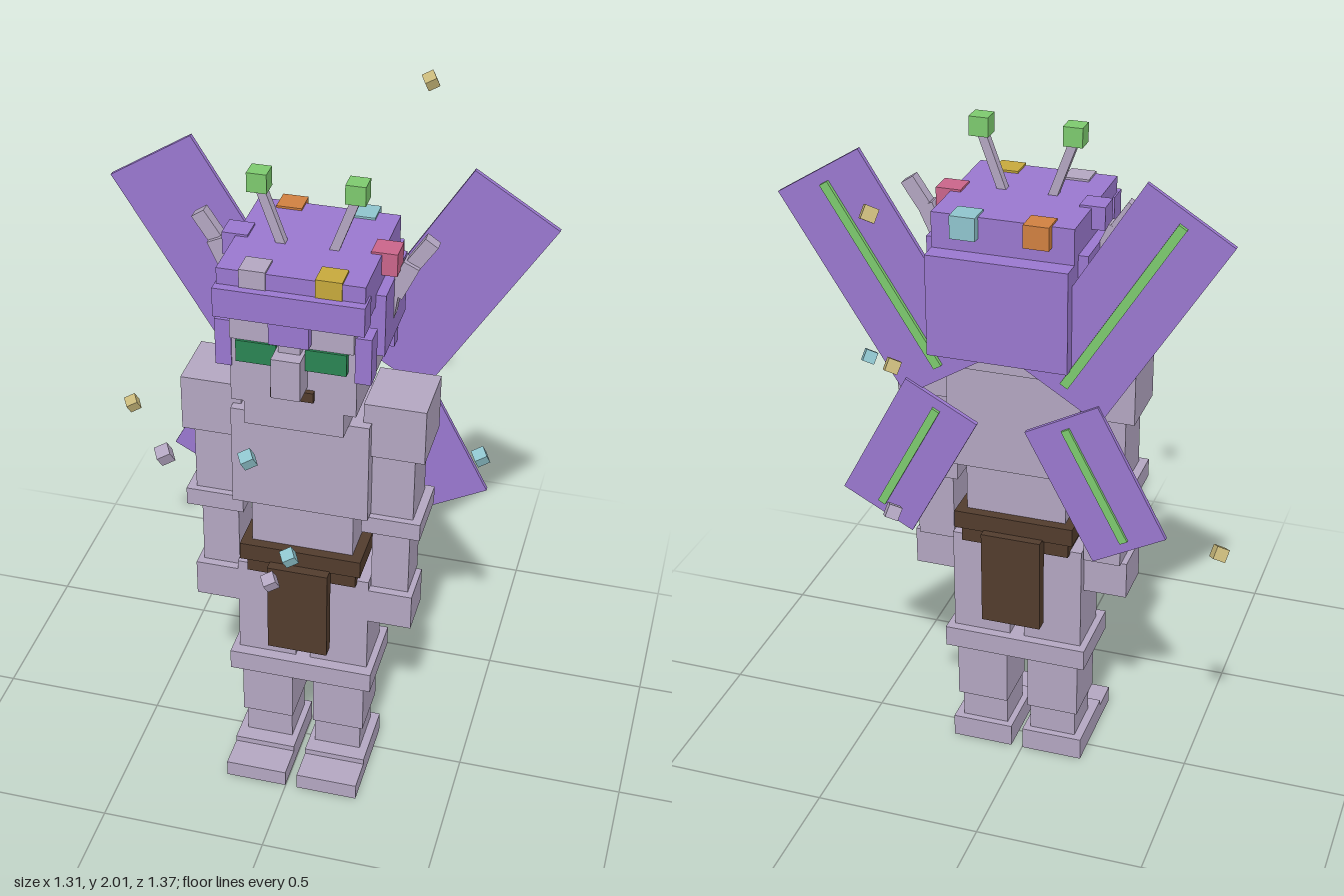
import * as THREE from 'three';

const mat = (name, color) => {
  const m = new THREE.MeshStandardMaterial({ color });
  m.name = name;
  return m;
};

export function createModel() {
  const skin = mat('lilac skin', 0xb3a6c1);
  const purple = mat('purple', 0x9a78cf);
  const eyeGreen = mat('eye green', 0x2a8553);
  const leaf = mat('light green', 0x7dca6e);
  const brown = mat('leather brown', 0x523c2d);
  const orange = mat('orange', 0xd08040);
  const teal = mat('pale teal', 0x8fc4cd);
  const pink = mat('pink', 0xca658a);
  const gold = mat('gold', 0xc6a93c);
  const tan = mat('tan', 0xc8b87a);

  const model = new THREE.Group();
  model.name = 'wingedFigure';
  // The figure stands slightly off centre among the floating cubes
  const body = new THREE.Group();
  body.name = 'body';
  body.position.x = 0.017;
  model.add(body);

  const RAD = Math.PI / 180;
  // Box from its limits on each axis
  const box = (name, m, x0, x1, y0, y1, z0, z1) => {
    const mesh = new THREE.Mesh(new THREE.BoxGeometry(x1 - x0, y1 - y0, z1 - z0), m);
    mesh.position.set((x0 + x1) / 2, (y0 + y1) / 2, (z0 + z1) / 2);
    mesh.name = name;
    body.add(mesh);
    return mesh;
  };
  const pair = (name, m, x0, x1, ...rest) => {
    box(name + 'Left', m, x0, x1, ...rest);
    box(name + 'Right', m, -x1, -x0, ...rest);
  };
  // Box from centre and size, tilted outward by an angle, on both sides
  const tiltedPair = (name, m, [x, y, z], size, degrees) => {
    for (const s of [1, -1]) {
      const mesh = new THREE.Mesh(new THREE.BoxGeometry(...size), m);
      mesh.position.set(s * x, y, z);
      mesh.rotation.z = -s * degrees * RAD;
      mesh.name = name + (s > 0 ? 'Left' : 'Right');
      body.add(mesh);
    }
  };

  // Legs
  pair('heel', skin, 0.018, 0.205, 0, 0.07, -0.077, 0.14);
  pair('toes', skin, 0.018, 0.205, 0, 0.052, 0.13, 0.24);
  pair('ankle', skin, 0.037, 0.18, 0.07, 0.16, -0.055, 0.09);
  pair('shin', skin, 0.033, 0.19, 0.16, 0.35, -0.07, 0.1);
  box('kneeBand', skin, -0.218, 0.218, 0.35, 0.415, -0.098, 0.135);
  pair('thigh', skin, 0.022, 0.198, 0.415, 0.74, -0.07, 0.1);

  // Loincloth
  box('belt', brown, -0.18, 0.18, 0.78, 0.835, -0.105, 0.135);
  box('lowerBelt', brown, -0.163, 0.163, 0.73, 0.78, -0.09, 0.12);
  box('frontFlap', brown, -0.09, 0.09, 0.49, 0.785, 0.125, 0.165);
  box('backFlap', brown, -0.09, 0.09, 0.49, 0.785, -0.13, -0.09);

  // Torso
  box('waist', skin, -0.15, 0.15, 0.835, 0.99, -0.075, 0.105);
  box('chest', skin, -0.198, 0.198, 0.99, 1.305, -0.1, 0.135);
  box('jaw', skin, -0.14, 0.14, 1.305, 1.385, -0.105, 0.195);

  // Arms
  pair('shoulder', skin, 0.175, 0.35, 1.195, 1.365, -0.085, 0.108);
  pair('upperArm', skin, 0.197, 0.32, 0.985, 1.195, -0.065, 0.09);
  pair('elbowBand', skin, 0.175, 0.345, 0.93, 0.985, -0.085, 0.11);
  pair('forearm', skin, 0.2, 0.31, 0.71, 0.93, -0.055, 0.075);
  pair('hand', skin, 0.197, 0.327, 0.595, 0.71, -0.04, 0.1);

  // Head and face
  box('head', skin, -0.175, 0.175, 1.38, 1.7, -0.16, 0.198);
  box('browRidge', skin, -0.17, 0.17, 1.585, 1.645, 0.19, 0.215);
  pair('eye', eyeGreen, 0.04, 0.152, 1.52, 1.585, 0.195, 0.222);
  box('nose', skin, -0.04, 0.04, 1.455, 1.575, 0.19, 0.275);
  box('noseBridge', skin, -0.03, 0.03, 1.55, 1.61, 0.19, 0.235);
  box('mouth', brown, -0.06, 0.06, 1.415, 1.445, 0.19, 0.214);

  // Headdress
  box('cap', purple, -0.2, 0.2, 1.675, 1.797, -0.18, 0.222);
  box('browBand', purple, -0.205, 0.205, 1.665, 1.75, 0.18, 0.248);
  box('browPoint', purple, -0.055, 0.055, 1.6, 1.67, 0.19, 0.244);
  pair('sidePlate', purple, 0.17, 0.228, 1.525, 1.71, -0.145, 0.105);
  pair('cheekStrip', purple, 0.17, 0.215, 1.49, 1.63, 0.14, 0.202);
  box('backPlate', purple, -0.2, 0.2, 1.4, 1.695, -0.236, -0.145);

  // Studs around the cap
  const studs = [
    [-0.102, -0.17, orange], [0.103, -0.17, teal], [-0.102, 0.19, skin],
    [0.103, 0.19, gold], [0.207, -0.01, pink], [-0.202, -0.01, purple],
  ];
  for (const [x, z, m] of studs) {
    const dz = m === pink || m === purple ? 0.02 : 0;
    box('stud', m, x - 0.036, x + 0.036, 1.737, 1.803, z + dz - 0.036, z + dz + 0.036);
  }

  // Horns in three stepped pieces
  tiltedPair('hornRoot', skin, [0.213, 1.635, -0.015], [0.045, 0.09, 0.045], 8);
  tiltedPair('hornMiddle', skin, [0.25, 1.705, -0.015], [0.047, 0.105, 0.045], 25);
  tiltedPair('hornTip', skin, [0.298, 1.785, -0.022], [0.042, 0.085, 0.033], 34);

  // Antennae
  tiltedPair('antennaStalk', skin, [0.098, 1.865, 0.042], [0.025, 0.19, 0.025], 20);
  pair('antennaTip', leaf, 0.105, 0.16, 1.945, 2, 0.016, 0.071);

  // Wings, each with a raised vein on the back
  tiltedPair('upperWing', purple, [0.338, 1.6, -0.19], [0.28, 0.663, 0.014], 32);
  tiltedPair('upperWingVein', leaf, [0.338, 1.6, -0.202], [0.026, 0.59, 0.012], 32);
  tiltedPair('lowerWing', purple, [0.275, 1.055, -0.199], [0.236, 0.43, 0.014], -28);
  tiltedPair('lowerWingVein', leaf, [0.275, 1.055, -0.21], [0.024, 0.37, 0.01], -28);

  // Floating cubes
  const motes = [
    [-0.635, 0.965, -0.297, tan], [0.19, 1.978, -0.655, tan], [0.27, 1.415, -0.355, tan],
    [-0.04, 1.365, 0.44, teal], [0.064, 1.042, 0.415, teal], [0.512, 1.213, 0.055, teal],
    [0.025, 0.99, 0.467, skin], [-0.19, 1.5, 0.655, skin], [0.18, 1.12, -0.605, skin],
  ];
  for (const [x, y, z, m] of motes) {
    const mote = new THREE.Mesh(new THREE.BoxGeometry(0.036, 0.036, 0.036), m);
    mote.position.set(x, y, z);
    mote.rotation.set(0.4, 0.5, 0.25);
    mote.name = 'floatingCube';
    model.add(mote);
  }
  return model;
}
